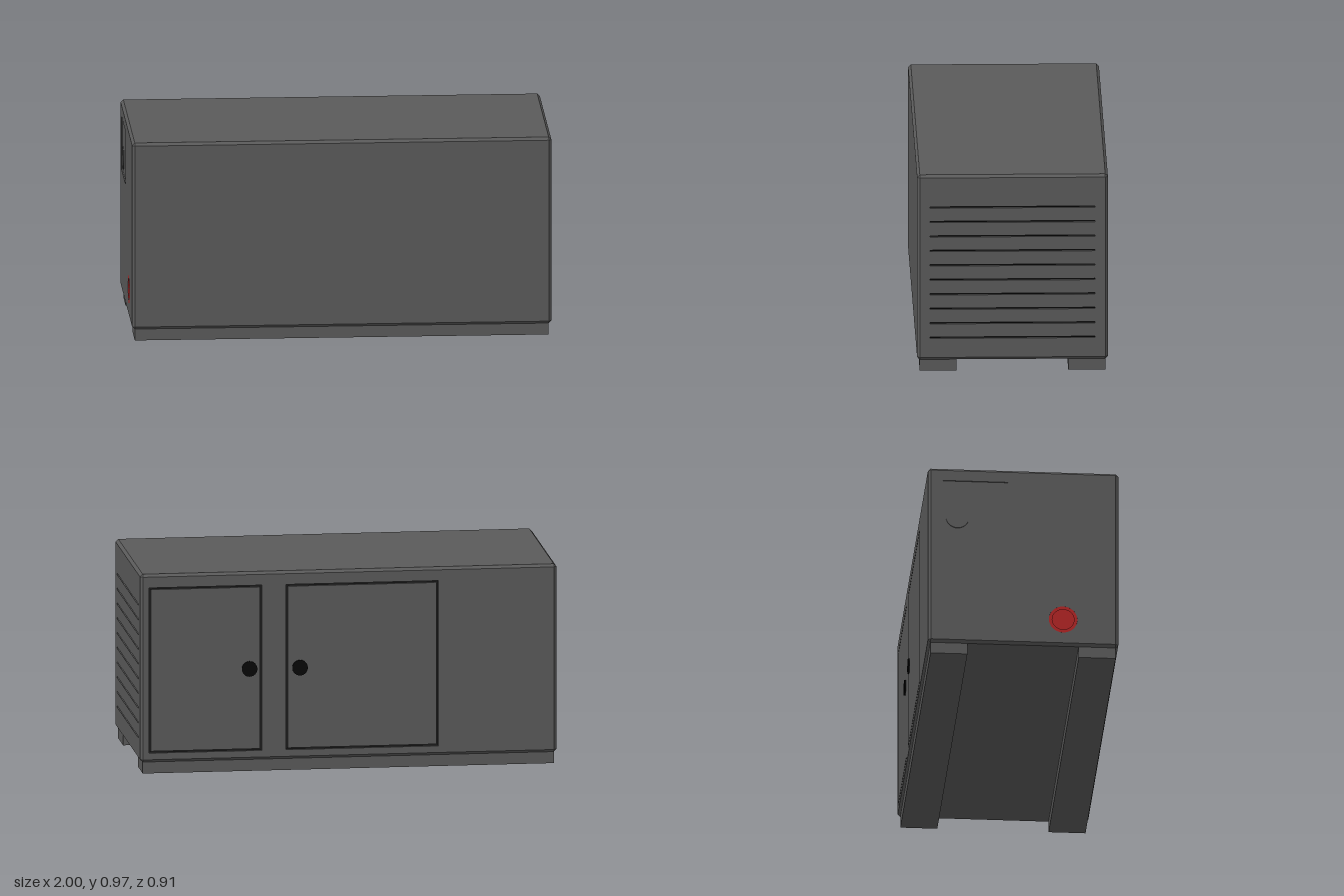
import * as THREE from 'three';

const material = (color) => new THREE.MeshStandardMaterial({ color, flatShading: true, side: THREE.DoubleSide });

// Half sizes, centre and edge chamfer of the cabinet
const HALF = [0.998, 0.455, 0.4535], CENTRE = [0, 0.51, 0.0035], CHAMFER = 0.013, SKIN = 0.012;

function rectPath(u0, u1, v0, v1, Type = THREE.Path) {
  const p = new Type();
  p.moveTo(u0, v0);
  p.lineTo(u1, v0);
  p.lineTo(u1, v1);
  p.lineTo(u0, v1);
  p.closePath();
  return p;
}

function circlePath(u, v, r) {
  const p = new THREE.Path();
  p.absarc(u, v, r, 0, Math.PI * 2, true);
  return p;
}

// Plain faces, chamfer strips and corner triangles; the faces in `open` are left out
function chamferedShell(open) {
  const pos = [];
  const point = (s, axis) => new THREE.Vector3(...s.map((v, i) => v * (HALF[i] - (i === axis ? 0 : CHAMFER))));
  const tri = (a, b, c) => {
    const n = b.clone().sub(a).cross(c.clone().sub(a));
    const out = a.clone().add(b).add(c);
    const list = n.dot(out) > 0 ? [a, b, c] : [a, c, b];
    list.forEach((p) => pos.push(p.x, p.y, p.z));
  };
  const quad = (a, b, c, d) => { tri(a, b, c); tri(a, c, d); };
  for (let k = 0; k < 3; k++) {
    const i = (k + 1) % 3, j = (k + 2) % 3;
    const signs = (a, b, c) => { const s = []; s[k] = a; s[i] = b; s[j] = c; return s; };
    for (const a of [-1, 1]) {
      if (!open.includes(`${k},${a}`)) {
        quad(...[[-1, -1], [1, -1], [1, 1], [-1, 1]].map(([b, c]) => point(signs(a, b, c), k)));
      }
      // Chamfer along axis k, between the faces on axes i and j
      for (const b of [-1, 1]) {
        const lo = signs(-1, a, b), hi = signs(1, a, b);
        quad(point(lo, i), point(hi, i), point(hi, j), point(lo, j));
      }
    }
  }
  for (const x of [-1, 1]) for (const y of [-1, 1]) for (const z of [-1, 1]) {
    tri(...[0, 1, 2].map((axis) => point([x, y, z], axis)));
  }
  const g = new THREE.BufferGeometry();
  g.setAttribute('position', new THREE.Float32BufferAttribute(pos, 3));
  g.computeVertexNormals();
  return g;
}

export function createModel() {
  const model = new THREE.Group();
  const grey = material(0x5a5a5a), dark = material(0x1c1c1c), black = material(0x080808), red = material(0xb02424);

  const add = (parent, name, geometry, mat, x = 0, y = 0, z = 0) => {
    const mesh = new THREE.Mesh(geometry, mat);
    mesh.name = name;
    mesh.position.set(x, y, z);
    parent.add(mesh);
    return mesh;
  };
  const slab = (shape, depth = SKIN) =>
    new THREE.ExtrudeGeometry(shape, { depth, bevelEnabled: false, curveSegments: 24 }).translate(0, 0, -depth);

  add(model, 'cabinetShell', chamferedShell(['0,1', '0,-1', '2,-1']), grey, ...CENTRE);

  // A pierced wall in its own frame: u to the viewer's right, v up in world height, outside at w = 0
  const wall = (name, halfWidth, holes, angle, x, z) => {
    const group = new THREE.Group();
    group.name = name;
    group.rotation.y = angle;
    group.position.set(x, 0, z);
    const w = halfWidth - CHAMFER, h = HALF[1] - CHAMFER;
    const shape = rectPath(-w, w, CENTRE[1] - h, CENTRE[1] + h, THREE.Shape);
    shape.holes.push(...holes);
    add(group, name + 'Skin', slab(shape), grey);
    model.add(group);
    return group;
  };

  // Back wall with two flush doors set in narrow gaps
  const doors = [[-0.957, -0.416, -0.475], [-0.3, 0.43, -0.233]];
  const bottom = 0.1, top = 0.9, gap = 0.009;
  const back = wall('backWall', HALF[0], doors.map(([a, b]) => rectPath(a, b, bottom, top)),
    Math.PI, 0, CENTRE[2] - HALF[2]);
  for (const [a, b, knob] of doors) {
    add(back, 'doorGap', new THREE.PlaneGeometry(b - a, top - bottom), dark, (a + b) / 2, (top + bottom) / 2, -SKIN);
    add(back, 'door', slab(rectPath(a + gap, b - gap, bottom + gap, top - gap, THREE.Shape)), grey);
    add(back, 'doorLatch', new THREE.CylinderGeometry(0.037, 0.037, 0.012, 32).rotateX(Math.PI / 2), black,
      knob, 0.496, 0.001);
  }

  // Right wall with ten ventilation slots
  const slots = [];
  for (let i = 0; i < 10; i++) {
    const y = 0.165 + i * 0.0713;
    slots.push(rectPath(-0.392, 0.392, y - 0.0035, y + 0.0035));
  }
  const vent = wall('ventWall', HALF[2], slots, Math.PI / 2, HALF[0], CENTRE[2]);
  add(vent, 'slotBacking', new THREE.PlaneGeometry(0.8, 0.68), black, 0, 0.486, -SKIN);

  // Left wall with a control panel and a round outlet
  const outlet = { u: 0.19, v: 0.19, r: 0.068 };
  const service = wall('serviceWall', HALF[2],
    [rectPath(-0.383, -0.073, 0.64, 0.9), circlePath(outlet.u, outlet.v, outlet.r)],
    -Math.PI / 2, -HALF[0], CENTRE[2]);
  add(service, 'controlPanel', new THREE.PlaneGeometry(0.31, 0.26), grey, -0.228, 0.77, -0.006);
  add(service, 'controlDial', new THREE.CylinderGeometry(0.055, 0.055, 0.005, 32).rotateX(Math.PI / 2), grey,
    -0.313, 0.71, -0.0035);
  add(service, 'outletLining', new THREE.CylinderGeometry(outlet.r, outlet.r, 0.03, 32, 1, true).rotateX(Math.PI / 2),
    red, outlet.u, outlet.v, -0.015);
  add(service, 'outletRim', new THREE.RingGeometry(0.052, outlet.r, 32), red, outlet.u, outlet.v, 0);
  add(service, 'outletBack', new THREE.CircleGeometry(outlet.r, 32), red, outlet.u, outlet.v, -0.03);

  // Two long skids underneath
  for (const side of [-1, 1]) {
    add(model, 'skid', new THREE.BoxGeometry(1.97, 0.06, 0.176), grey, 0, 0.03, CENTRE[2] + side * 0.353);
  }
  return model;
}
